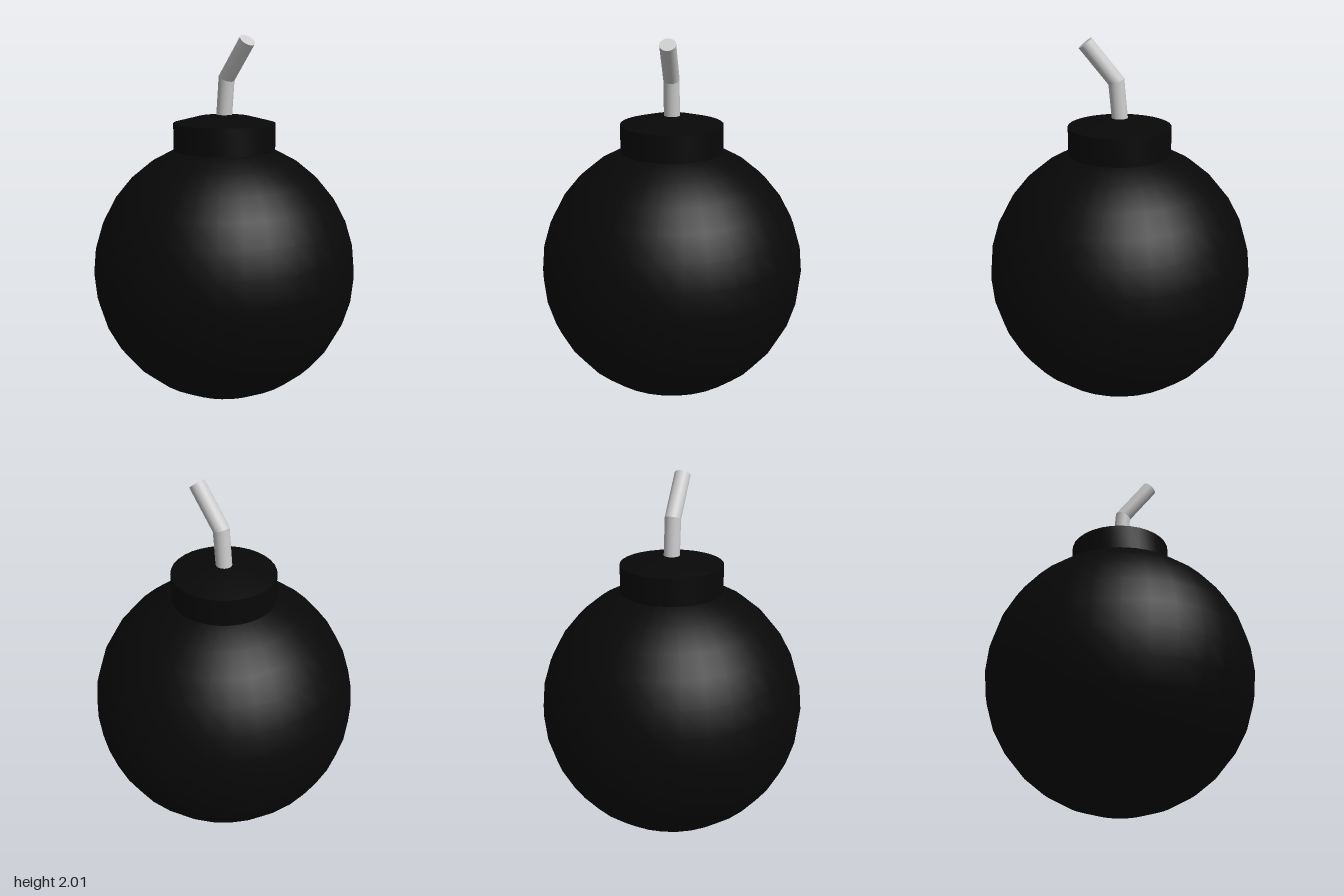
import * as THREE from 'three';
import { toCreasedNormals } from 'three/addons/utils/BufferGeometryUtils.js';

const R = 0.725;
const SIDES = 32;

export function createModel() {
  const group = new THREE.Group();
  const black = new THREE.MeshStandardMaterial({ color: 0x080808 });
  const grey = new THREE.MeshStandardMaterial({ color: 0xcccccc });

  const add = (name, geometry, material) => {
    const mesh = new THREE.Mesh(geometry, material);
    mesh.name = name;
    group.add(mesh);
    return mesh;
  };

  // Round body, open at the top where the neck rises from its second ring
  const opening = Math.PI / 8;
  const body = new THREE.SphereGeometry(R, SIDES, 14, 0, Math.PI * 2, opening, Math.PI - opening);
  add('body', body, black).position.y = R;

  // Neck: straight wall with a shallow domed top
  const neckRadius = R * Math.sin(opening);
  const neckBase = R + R * Math.cos(opening);
  const profile = [
    [neckRadius, neckBase],
    [neckRadius, 1.543],
    [neckRadius / 2, 1.578],
    [0, 1.592],
  ].map(([x, y]) => new THREE.Vector2(x, y));
  add('neck', toCreasedNormals(new THREE.LatheGeometry(profile, SIDES), 0.6), black);

  // Fuse: two straight lengths meeting in a mitred bend
  const r = 0.043;
  const base = { x: -0.002, y: 1.57, tilt: -0.09, stretch: 1 };
  const bend = { x: 0.018, y: 1.782, tilt: -0.42, stretch: 1 };
  const tip = { x: 0.178, y: 1.982, tilt: -0.45, stretch: 1.0 };
  // Ring tilt follows the axis direction; the bend lies halfway between both
  base.tilt = -Math.atan2(bend.x - base.x, bend.y - base.y);
  tip.tilt = -Math.atan2(tip.x - bend.x, tip.y - bend.y);
  bend.tilt = (base.tilt + tip.tilt) / 2;
  bend.stretch = 1 / Math.cos((tip.tilt - base.tilt) / 2);

  const fuseLength = (name, from, to, openEnded) => {
    const geometry = new THREE.CylinderGeometry(r, r, 1, 24, 1, openEnded);
    const p = geometry.attributes.position;
    for (let i = 0; i < p.count; i++) {
      const ring = p.getY(i) > 0 ? to : from;
      const across = p.getX(i) * ring.stretch;
      p.setXY(i, ring.x + across * Math.cos(ring.tilt), ring.y + across * Math.sin(ring.tilt));
    }
    add(name, toCreasedNormals(geometry, 0.6), grey);
  };
  fuseLength('fuseLower', base, bend, true);
  fuseLength('fuseUpper', bend, tip, false);

  return group;
}
